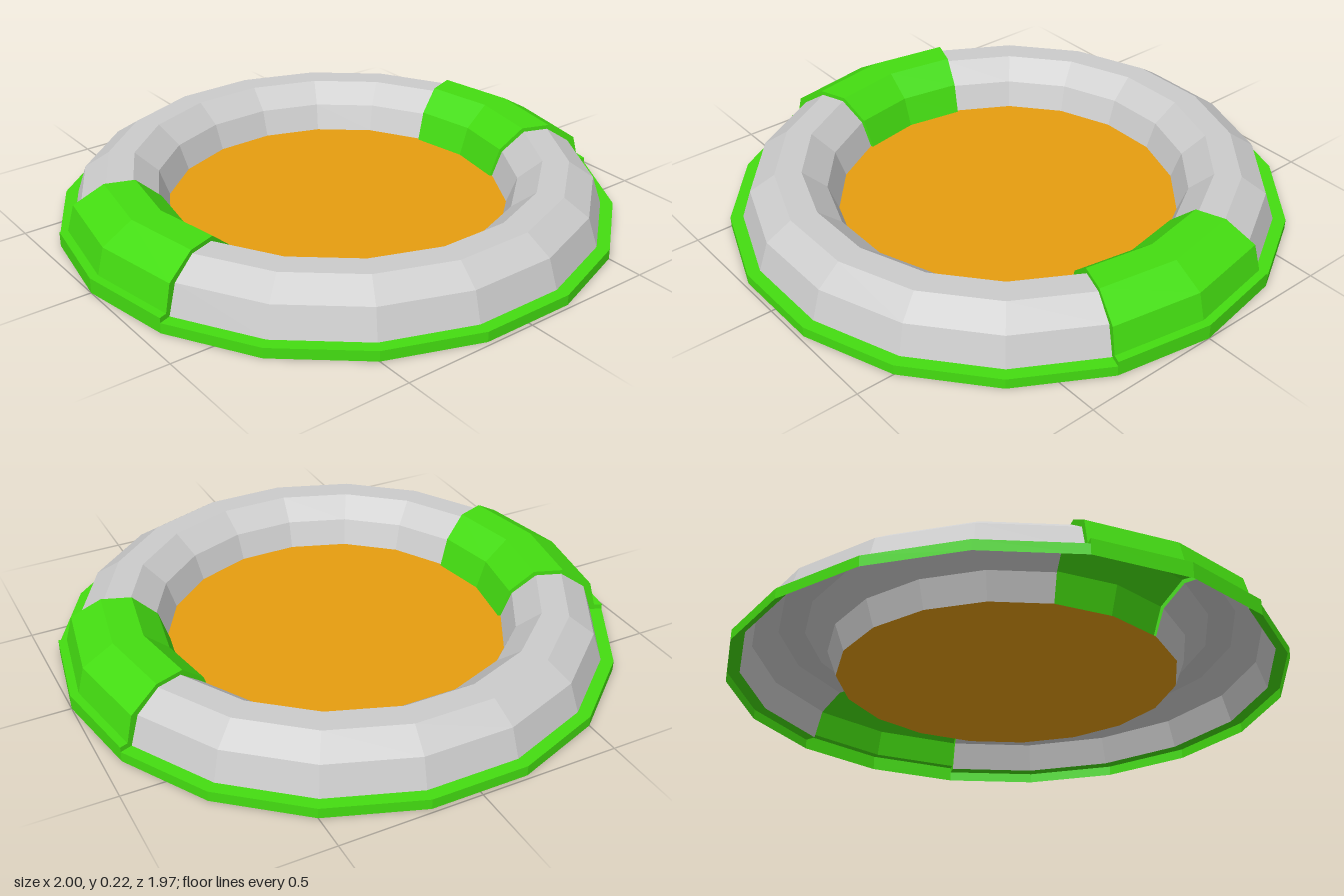
import * as THREE from 'three';

const SIDES = 18;
const STEP = (Math.PI * 2) / SIDES;

const material = (color) =>
  new THREE.MeshStandardMaterial({ color, flatShading: true, side: THREE.DoubleSide });

const toPoints = (list) => list.map(([r, y]) => new THREE.Vector2(r, y));

export function createModel() {
  const group = new THREE.Group();
  const grey = material(0xcccccc);
  const green = material(0x44dd11);
  const orange = material(0xe69d10);

  const add = (name, geometry, mat) => {
    const mesh = new THREE.Mesh(geometry, mat);
    mesh.name = name;
    group.add(mesh);
    return mesh;
  };

  // Cross-sections (radius, height) from the outside foot over to the inside foot
  const rim = toPoints([[1, 0], [1, 0.037], [0.955, 0.037]]);
  const ring = toPoints([
    [0.955, 0.037], [0.92, 0.14], [0.83, 0.2], [0.735, 0.2], [0.65, 0.13], [0.615, 0.035],
  ]);
  const sleeve = toPoints([
    [1, 0], [1, 0.055], [0.97, 0.055], [0.945, 0.15],
    [0.835, 0.215], [0.727, 0.215], [0.64, 0.14], [0.605, 0.035],
  ]);

  // Thin end wall between the sleeve and the lower ring section
  const endShape = new THREE.Shape([...sleeve.slice(1), ...[...rim.slice(1), ...ring.slice(1)].reverse()]);

  for (const [side, centre] of [['left', Math.PI / 2], ['right', -Math.PI / 2]]) {
    // Raised sleeve, two facets wide
    add(side + 'Sleeve', new THREE.LatheGeometry(sleeve, 2, centre - 2 * STEP, 4 * STEP / 2), green)
      .geometry.rotateY(STEP);
    for (const end of [-1, 1]) {
      const cap = new THREE.ShapeGeometry(endShape);
      cap.rotateY(centre + end * STEP - Math.PI / 2);
      add(side + 'SleeveEnd', cap, green);
    }
  }

  // Hollow grey ring and green foot rim, in the two arcs between the sleeves
  for (const [side, start] of [['back', Math.PI / 2 + STEP], ['front', -Math.PI / 2 + STEP]]) {
    add(side + 'Ring', new THREE.LatheGeometry(ring, 7, start, 7 * STEP), grey);
    add(side + 'Rim', new THREE.LatheGeometry(rim, 7, start, 7 * STEP), green);
  }

  // Floor disc inside the ring
  const floor = new THREE.CircleGeometry(0.615, SIDES);
  floor.rotateX(-Math.PI / 2);
  floor.translate(0, 0.035, 0);
  add('floor', floor, orange);

  return group;
}
